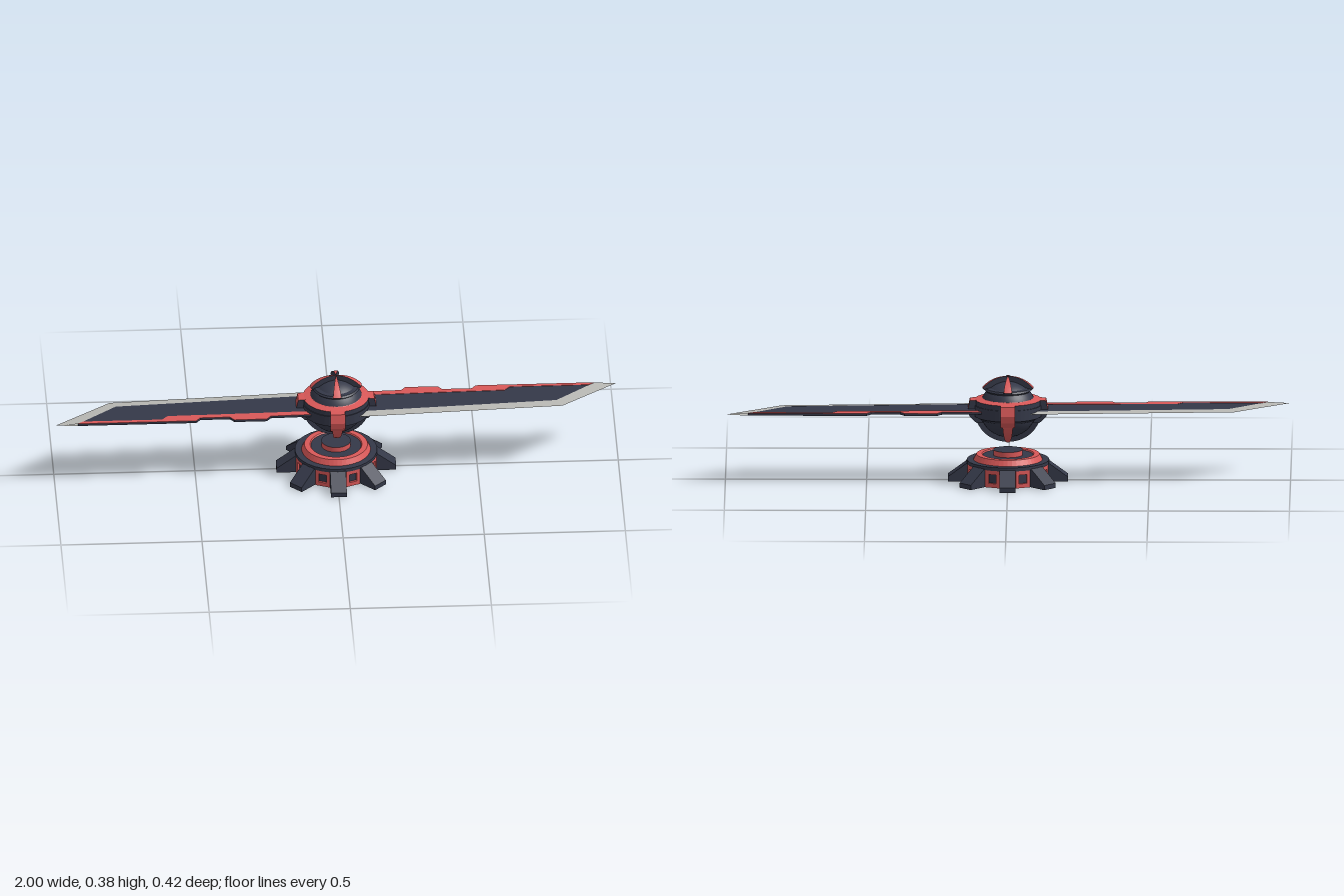
import * as THREE from 'three';

const mat = (color, extra = {}) => {
  const m = new THREE.MeshStandardMaterial({ side: THREE.DoubleSide, ...extra });
  m.color.set(color);
  return m;
};
const dark = mat(0x343848), darkFlat = mat(0x343848, { flatShading: true });
const red = mat(0xd95858), redFlat = mat(0xd95858, { flatShading: true });
const silver = mat(0xb8b8b4, { flatShading: true });

const CY = 0.257; // height of the orb centre
const R_IN = 0.1, R_OUT = 0.119;

function add(parent, name, geometry, material) {
  const m = new THREE.Mesh(geometry, material);
  m.name = name;
  parent.add(m);
  return m;
}
const shapeOf = pts => new THREE.Shape(pts.map(([x, y]) => new THREE.Vector2(x, y)));
const extrude = (shape, depth) => new THREE.ExtrudeGeometry(shape, { depth, bevelEnabled: false });
const lathe = (pts, n = 48) => new THREE.LatheGeometry(pts.map(([x, y]) => new THREE.Vector2(x, y)), n);
// Profile in (radius, height), extruded to a width and centred on the x axis
const radialBlock = (pts, width) => extrude(shapeOf(pts), width).translate(0, 0, -width / 2);

function makeBase() {
  const base = new THREE.Group();
  base.name = 'base';
  add(base, 'baseBody', new THREE.CylinderGeometry(0.138, 0.138, 0.064, 16).rotateY(Math.PI / 16).translate(0, 0.032, 0), darkFlat);
  add(base, 'baseRim', new THREE.CylinderGeometry(0.146, 0.146, 0.013, 32).translate(0, 0.0685, 0), darkFlat);
  add(base, 'baseRing', lathe([[0.122, 0.075], [0.112, 0.095], [0.092, 0.095], [0.088, 0.09]]), redFlat);
  add(base, 'basePlate', new THREE.CylinderGeometry(0.09, 0.09, 0.016, 32).translate(0, 0.083, 0), darkFlat);
  add(base, 'hubSide', new THREE.CylinderGeometry(0.052, 0.052, 0.02, 32, 1, true).translate(0, 0.1, 0), red);
  add(base, 'hubTop', new THREE.CircleGeometry(0.052, 32).rotateX(-Math.PI / 2).translate(0, 0.11, 0), darkFlat);

  const footGeo = radialBlock([[0.1, 0], [0.212, 0], [0.212, 0.017], [0.145, 0.066], [0.1, 0.066]], 0.056);
  // Square panel with a window
  const frame = shapeOf([[-0.027, 0], [0.027, 0], [0.027, 0.062], [-0.027, 0.062]]);
  frame.holes.push(new THREE.Path([[-0.015, 0.015], [-0.015, 0.047], [0.015, 0.047], [0.015, 0.015]].map(p => new THREE.Vector2(...p))));
  const frameGeo = extrude(frame, 0.008).translate(0, 0, 0.135).rotateY(Math.PI / 2);
  for (let i = 0; i < 8; i++) {
    add(base, 'foot', footGeo, darkFlat).rotation.y = i * Math.PI / 4;
    add(base, 'panelFrame', frameGeo, redFlat).rotation.y = (i + 0.5) * Math.PI / 4;
  }
  return base;
}

// Curved rib with a tapering outer face, between two polar angles
function makeRib(t0, t1) {
  const rib = new THREE.Group();
  rib.name = 'rib';
  const half = 0.165, len = t1 - t0;
  // SphereGeometry starts at -x, so PI is +x
  add(rib, 'ribFace', new THREE.SphereGeometry(R_OUT, 3, 16, Math.PI - half, 2 * half, t0, len), red);
  for (const s of [-1, 1])
    add(rib, 'ribSide', new THREE.RingGeometry(0.094, R_OUT, 16, 1, Math.PI / 2 - t1, len).rotateY(s * half), darkFlat);
  // Cap closing the cut end
  const cut = t0 > 0 ? t0 : t1;
  const cap = new THREE.CylinderGeometry(R_OUT * Math.sin(cut), 0.094 * Math.sin(cut), (R_OUT - 0.094) * Math.cos(cut),
    3, 1, true, Math.PI / 2 - half, 2 * half);
  add(rib, 'ribEnd', cap.translate(0, (R_OUT + 0.094) / 2 * Math.cos(cut), 0), darkFlat);
  return rib;
}

function makeOrb() {
  const orb = new THREE.Group();
  orb.name = 'orb';
  orb.position.y = CY;
  add(orb, 'core', new THREE.SphereGeometry(R_IN, 40, 28), dark);
  add(orb, 'equatorBand', lathe([[0.098, -0.035], [0.116, -0.022], [0.12, -0.022], [0.12, 0.018], [0.117, 0.018], [0.117, 0.036]]), darkFlat);
  add(orb, 'collar', lathe([[0.117, 0.036], [0.092, 0.041], [0.075, 0.055], [0.07, 0.055]]), redFlat);
  add(orb, 'domeBand', lathe([[0.07, 0.058], [0.083, 0.07], [0.078, 0.076], [0.06, 0.078]]), darkFlat);

  const podGeo = radialBlock([[0.09, 0.032], [0.11, 0.037], [0.135, 0.035], [0.142, 0.002],
    [0.136, -0.022], [0.112, -0.045], [0.09, -0.045]], 0.052);
  for (let i = 0; i < 4; i++) {
    const arm = new THREE.Group();
    arm.name = 'orbQuarter';
    arm.rotation.y = i * Math.PI / 2;
    arm.add(makeRib(0, 0.87), makeRib(1.86, Math.PI));
    add(arm, 'pod', podGeo, [darkFlat, redFlat]);
    orb.add(arm);
  }
  return orb;
}

// Bevelled cutting edge: thick along the inner line, sharp along the outer line
function edgeGeometry(inner, outer, h) {
  const pos = [];
  for (let i = 0; i < inner.length - 1; i++) {
    for (const s of [1, -1]) {
      const a = [inner[i][0], s * h, inner[i][1]], b = [inner[i + 1][0], s * h, inner[i + 1][1]];
      const c = [outer[i + 1][0], 0, outer[i + 1][1]], d = [outer[i][0], 0, outer[i][1]];
      if (s > 0) pos.push(...a, ...d, ...c, ...a, ...c, ...b);
      else pos.push(...a, ...c, ...d, ...a, ...b, ...c);
    }
  }
  const g = new THREE.BufferGeometry();
  g.setAttribute('position', new THREE.Float32BufferAttribute(pos, 3));
  g.computeVertexNormals();
  return g;
}

function makeBlade() {
  const blade = new THREE.Group();
  blade.name = 'blade';
  blade.position.y = CY;
  const h = 0.004;
  const inner = [[0.08, 0.06], [0.78, 0.016], [0.92, -0.1]];
  const outer = [[0.08, 0.092], [0.8, 0.05], [0.998, -0.1]];
  const back = [[0.6, -0.1], [0.5, -0.1], [0.485, -0.08], [0.38, -0.08], [0.365, -0.1],
    [0.25, -0.1], [0.235, -0.08], [0.08, -0.076]];
  const trimInner = [[0.08, -0.052], [0.48, -0.06], [0.5, -0.06], [0.6, -0.062], [0.62, -0.085], [0.9, -0.085]];
  // Plan points (x, z) to a flat horizontal slab
  const slab = (pts, y, t) => extrude(shapeOf(pts.map(([x, z]) => [x, -z])), t).rotateX(-Math.PI / 2).translate(0, y, 0);
  add(blade, 'bladeBody', slab([...inner, ...back], -h, 2 * h), darkFlat);
  add(blade, 'bladeTrim', slab([...trimInner, inner[2], ...back], h, 0.0012), redFlat);
  add(blade, 'bladeEdge', edgeGeometry(inner, outer, h), silver);
  return blade;
}

export function createModel() {
  const model = new THREE.Group();
  model.name = 'bladedOrb';
  const second = makeBlade();
  second.rotation.y = Math.PI;
  model.add(makeBase(), makeOrb(), makeBlade(), second);
  return model;
}
